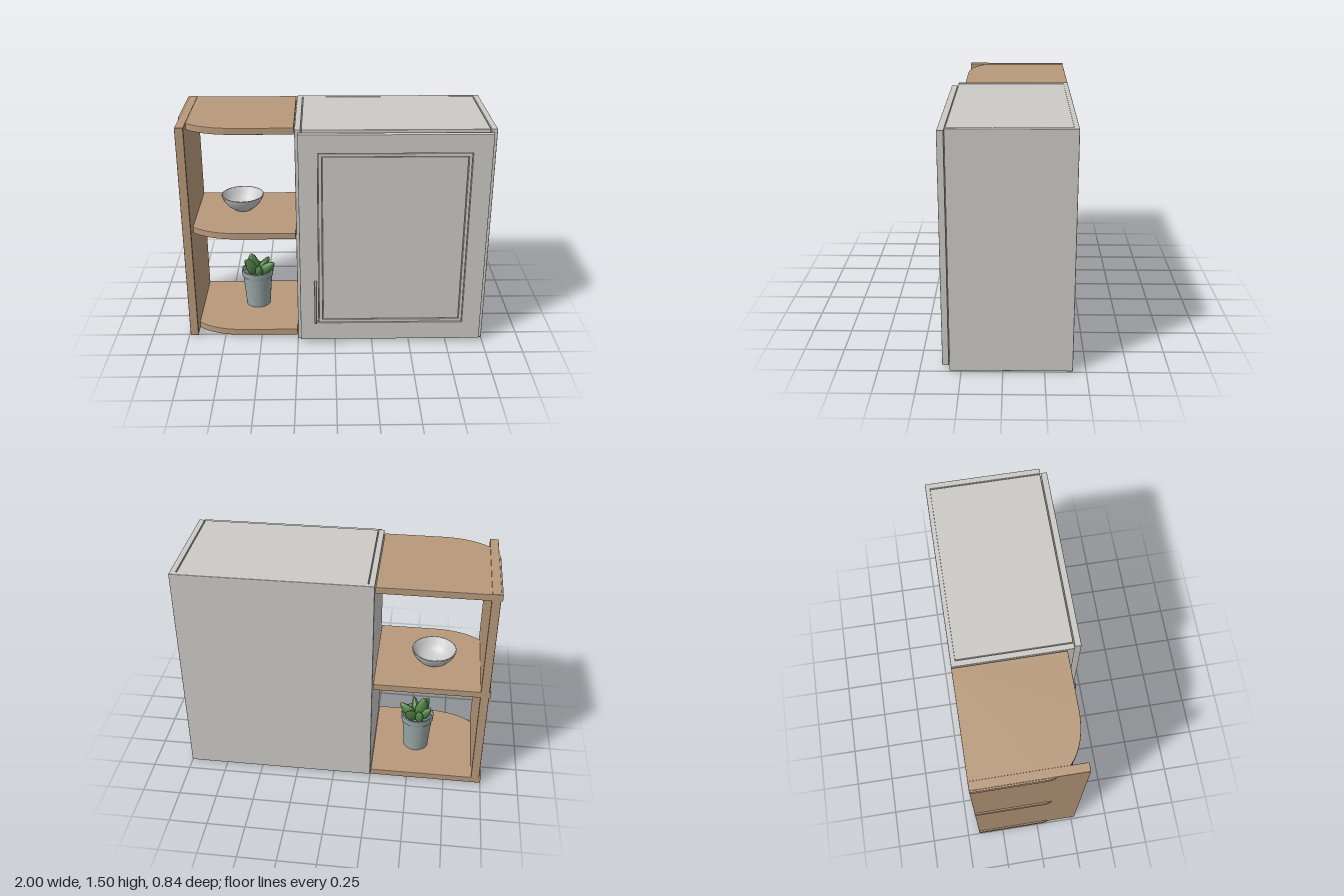
import * as THREE from 'three';
import { RoundedBoxGeometry } from 'three/addons/geometries/RoundedBoxGeometry.js';

const material = (color, extra = {}) => new THREE.MeshStandardMaterial({ color, ...extra });

export function createModel() {
  const root = new THREE.Group();
  const paint = material(0xcccac6);
  const wood = material(0xb8997a);
  const metal = material(0x929292);
  const ceramic = material(0xcccccc, { side: THREE.DoubleSide });
  const potGlaze = material(0x9aaba9, { side: THREE.DoubleSide });
  const soil = material(0x6f7a78);
  const leafGreen = material(0x4f7f45);

  const add = (name, geometry, mat, parent = root) => {
    const mesh = new THREE.Mesh(geometry, mat);
    mesh.name = name;
    parent.add(mesh);
    return mesh;
  };
  // Softly rounded board given by its limits on each axis
  const board = (name, [x0, x1], [y0, y1], [z0, z1], mat, parent) => {
    const size = [x1 - x0, y1 - y0, z1 - z0];
    const geo = new RoundedBoxGeometry(...size, 2, 0.004);
    add(name, geo, mat, parent).position.set((x0 + x1) / 2, (y0 + y1) / 2, (z0 + z1) / 2);
  };
  const rect = (Type, x0, x1, y0, y1) => new Type([
    [x0, y0], [x1, y0], [x1, y1], [x0, y1],
  ].map(([x, y]) => new THREE.Vector2(x, y)));

  // Closed cabinet carcass
  const cabinet = new THREE.Group();
  cabinet.name = 'cabinet';
  root.add(cabinet);
  board('rightSide', [-0.25, -0.212], [0.005, 1.5], [-0.4, 0.32], paint, cabinet);
  board('leftSide', [0.962, 1], [0.005, 1.5], [-0.4, 0.32], paint, cabinet);
  board('backPanel', [-0.25, 1], [0.005, 1.5], [-0.42, -0.39], paint, cabinet);
  board('topPanel', [-0.208, 0.958], [1.46, 1.498], [-0.4, 0.317], paint, cabinet);
  board('bottomPanel', [-0.208, 0.958], [0, 0.04], [-0.41, 0.28], paint, cabinet);
  board('bottomRail', [-0.208, 0.958], [0.006, 0.04], [0.28, 0.317], paint, cabinet);

  // Door: bevelled frame, stepped moulding and flat centre panel
  const door = new THREE.Group();
  door.name = 'door';
  root.add(door);
  const frameLayer = (name, outer, inner, z0, z1, bevel) => {
    const [a, b, c, d] = outer;
    const shape = rect(THREE.Shape, a + bevel, b - bevel, c + bevel, d - bevel);
    const [e, f, g, h] = inner;
    shape.holes.push(rect(THREE.Path, e - bevel, f + bevel, g - bevel, h + bevel));
    const geo = new THREE.ExtrudeGeometry(shape, {
      depth: z1 - z0 - 2 * bevel, bevelThickness: bevel, bevelSize: bevel, bevelSegments: 2,
    });
    add(name, geo, paint, door).position.z = z0 + bevel;
  };
  frameLayer('doorFrame', [-0.23, 0.975, 0.027, 1.482], [-0.108, 0.852, 0.155, 1.36], 0.325, 0.365, 0.004);
  frameLayer('doorMoulding', [-0.105, 0.849, 0.158, 1.357], [-0.083, 0.829, 0.178, 1.337], 0.33, 0.361, 0.003);
  board('doorPanel', [-0.08, 0.826, 0], [0.181, 1.334], [0.33, 0.357], paint, door);
  board('doorBacking', [-0.2, 0.94], [0.06, 1.45], [0.322, 0.345], paint, door);

  // Bowed pull handle
  const handlePath = new THREE.CatmullRomCurve3([
    [0.172, 0.36], [0.173, 0.385], [0.178, 0.402], [0.21, 0.411], [0.32, 0.416],
    [0.43, 0.411], [0.462, 0.402], [0.467, 0.385], [0.468, 0.36],
  ].map(([y, z]) => new THREE.Vector3(-0.128, y, z)));
  add('doorHandle', new THREE.TubeGeometry(handlePath, 48, 0.009, 10), metal);

  // Open shelf unit: end panel and shelves with a rounded front corner
  const shelfUnit = new THREE.Group();
  shelfUnit.name = 'shelfUnit';
  root.add(shelfUnit);
  board('endPanel', [-0.99, -0.935], [0.01, 1.5], [-0.42, 0.275], wood, shelfUnit);
  const bevel = 0.004;
  const outline = new THREE.Shape();
  outline.moveTo(-0.255 - bevel, 0.42 - bevel);
  outline.lineTo(-1 + bevel, 0.42 - bevel);
  outline.lineTo(-1 + bevel, -0.03);
  outline.bezierCurveTo(-0.99, -0.16, -0.85, -0.275 + bevel, -0.62, -0.275 + bevel);
  outline.lineTo(-0.255 - bevel, -0.275 + bevel);
  outline.closePath();
  const shelfGeo = new THREE.ExtrudeGeometry(outline, {
    depth: 0.044 - 2 * bevel, bevelThickness: bevel, bevelSize: bevel, bevelSegments: 2, curveSegments: 20,
  });
  shelfGeo.rotateX(-Math.PI / 2);
  [['bottomShelf', 0.008], ['middleShelf', 0.736], ['topShelf', 1.453]].forEach(([name, y]) => {
    add(name, shelfGeo, wood, shelfUnit).position.y = y + bevel;
  });

  const lathe = (name, points, mat, sides, parent) =>
    add(name, new THREE.LatheGeometry(points.map(([r, y]) => new THREE.Vector2(r, y)), sides), mat, parent);

  // Bowl on the middle shelf
  const bowl = lathe('bowl', [
    [0, 0], [0.06, 0], [0.065, 0.006], [0.1, 0.032], [0.13, 0.07], [0.145, 0.105], [0.144, 0.11],
    [0.137, 0.109], [0.122, 0.072], [0.094, 0.04], [0.058, 0.018], [0, 0.014],
  ], ceramic, 24, root);
  bowl.position.set(-0.628, 0.78, -0.13);

  // Potted succulent on the bottom shelf
  const plant = new THREE.Group();
  plant.name = 'pottedPlant';
  plant.position.set(-0.545, 0.05, -0.105);
  root.add(plant);
  lathe('pot', [
    [0, 0], [0.08, 0], [0.084, 0.004], [0.102, 0.226], [0.109, 0.23], [0.112, 0.27],
    [0.11, 0.275], [0.1, 0.275], [0.096, 0.235],
  ], potGlaze, 32, plant);
  add('soil', new THREE.CylinderGeometry(0.097, 0.095, 0.02, 24), soil, plant).position.y = 0.235;

  // Leaves: pointed ellipsoids, each [heading, lean from vertical, length]
  const leafGeo = new THREE.SphereGeometry(1, 14, 10);
  const p = leafGeo.attributes.position;
  for (let i = 0; i < p.count; i++) {
    const y = p.getY(i);
    const taper = 1 - 0.35 * Math.max(0, y);
    p.setXYZ(i, p.getX(i) * taper * 0.26, (y + 1) / 2, p.getZ(i) * taper * 0.19);
  }
  leafGeo.computeVertexNormals();
  [
    [0.2, 0.85, 0.15], [1.3, 0.75, 0.14], [2.5, 0.5, 0.16], [3.4, 0.7, 0.13],
    [4.4, 0.75, 0.14], [5.5, 0.8, 0.14], [2.9, 0.2, 0.17],
  ].forEach(([heading, lean, length]) => {
    const leaf = add('leaf', leafGeo, leafGreen, plant);
    leaf.scale.setScalar(length);
    leaf.rotation.set(0, -heading, -lean, 'YXZ');
    leaf.position.set(Math.cos(heading) * 0.01, 0.23, Math.sin(heading) * 0.01);
  });

  return root;
}
